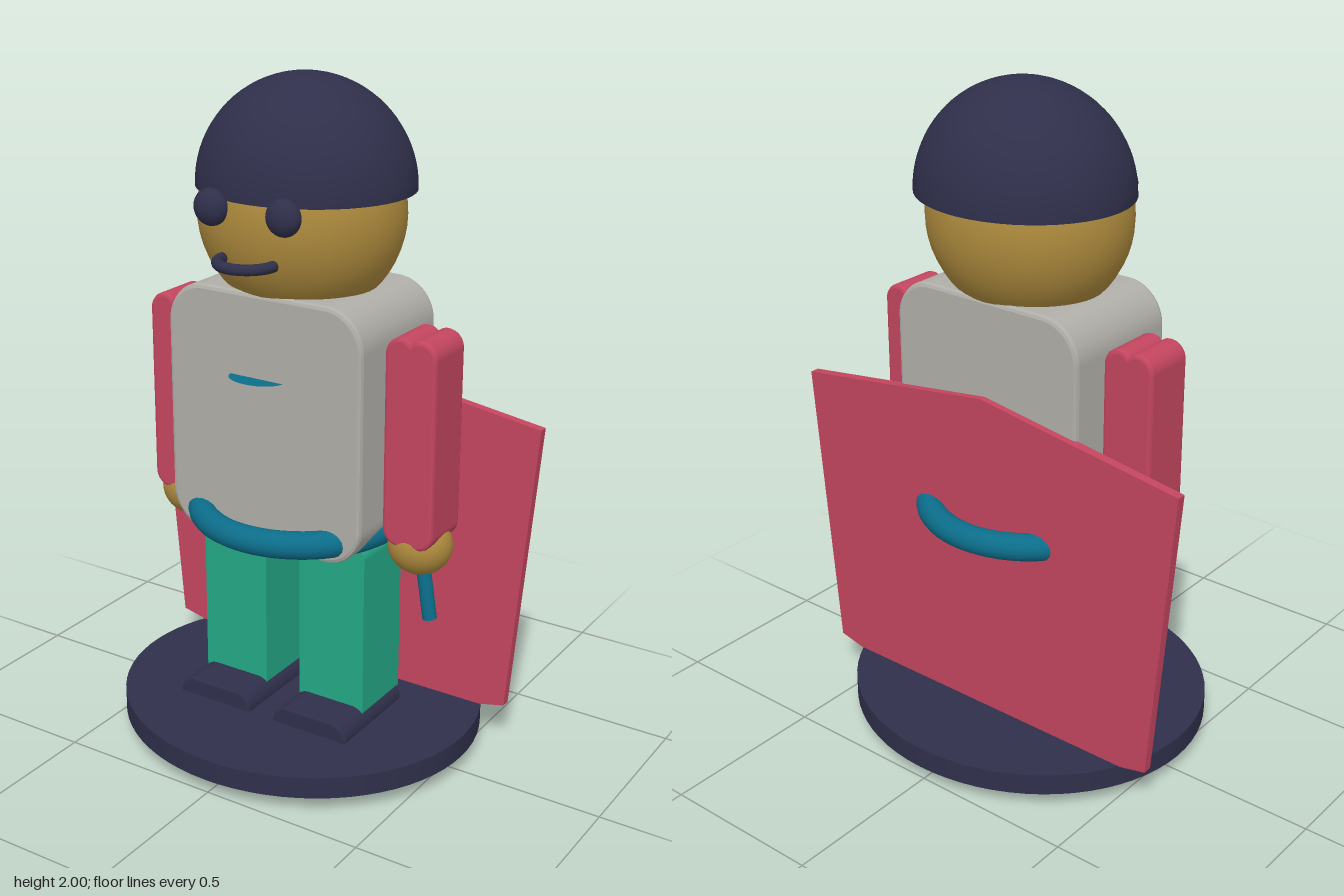
import * as THREE from 'three';

const mat = (name, color, side = THREE.FrontSide) => {
  const m = new THREE.MeshStandardMaterial({ color, side });
  m.name = name;
  return m;
};

// Rounded rectangle spanning x0..x1, y0..y1 with separate bottom and top radii
function roundedRect(x0, y0, x1, y1, rb, rt) {
  const s = new THREE.Shape();
  s.moveTo(x0 + rb, y0);
  s.lineTo(x1 - rb, y0);
  s.absarc(x1 - rb, y0 + rb, rb, -Math.PI / 2, 0);
  s.lineTo(x1, y1 - rt);
  s.absarc(x1 - rt, y1 - rt, rt, 0, Math.PI / 2);
  s.lineTo(x0 + rt, y1);
  s.absarc(x0 + rt, y1 - rt, rt, Math.PI / 2, Math.PI);
  s.lineTo(x0, y0 + rb);
  s.absarc(x0 + rb, y0 + rb, rb, Math.PI, Math.PI * 1.5);
  return s;
}

// Extrude between z0 and z1, with a small bevel kept inside the outline
function slab(shape, z0, z1, bevel = 0) {
  const g = new THREE.ExtrudeGeometry(shape, {
    depth: z1 - z0 - 2 * bevel, curveSegments: 10, bevelEnabled: bevel > 0,
    bevelThickness: bevel, bevelSize: bevel, bevelOffset: -bevel, bevelSegments: 2,
  });
  return g.translate(0, 0, z0 + bevel);
}

export function createModel() {
  const model = new THREE.Group();
  model.name = 'figurine';
  const navy = mat('navy', 0x2f2f4b, THREE.DoubleSide);
  const skin = mat('ochre skin', 0xad8a3d);
  const grey = mat('warm grey', 0xb0aea8);
  const rose = mat('rose', 0xc3455f);
  const green = mat('green', 0x24a885);
  const teal = mat('teal', 0x0c6d8a, THREE.DoubleSide);

  const add = (name, geometry, material, x = 0, y = 0, z = 0) => {
    const m = new THREE.Mesh(geometry, material);
    m.name = name;
    m.position.set(x, y, z);
    model.add(m);
    return m;
  };
  const ball = (name, material, r, p) =>
    add(name, new THREE.SphereGeometry(1, 40, 28).scale(...r), material, ...p);

  // Oval stand
  add('stand', new THREE.CylinderGeometry(1, 1, 0.066, 72).scale(0.56, 1, 0.515), navy, 0, 0.083, 0);

  // Flat pointed cape
  const capeShape = new THREE.Shape([
    [0, 0], [0.595, 0.135], [0.672, 1.035], [0, 1.13], [-0.672, 1.035], [-0.595, 0.135],
  ].map(([x, y]) => new THREE.Vector2(x, y)));
  add('cape', slab(capeShape, -0.223, -0.195), rose);

  // Torso and belt ring
  add('torso', slab(roundedRect(-0.322, 0.665, 0.322, 1.42, 0.12, 0.12), -0.202, 0.204, 0.012), grey);
  add('belt', new THREE.TorusGeometry(0.298, 0.04, 16, 64).rotateX(Math.PI / 2), teal, 0, 0.727, 0);

  // Small badge ledge standing out of the chest
  const ledge = new THREE.Shape();
  ledge.absellipse(0, 0, 0.088, 0.062, 0, Math.PI * 2);
  add('chestBadge', new THREE.ShapeGeometry(ledge, 16).rotateX(-Math.PI / 2), teal, -0.02, 1.175, 0.2);

  // Head, cap and face
  ball('head', skin, [0.302, 0.3, 0.276], [0, 1.618, 0]);
  add('cap', new THREE.SphereGeometry(1, 48, 20, 0, Math.PI * 2, 0, Math.PI / 2)
    .scale(0.32, 0.315, 0.291), navy, 0, 1.685, -0.021);
  add('mouth', new THREE.TorusGeometry(0.083, 0.016, 12, 32, Math.PI).rotateX(Math.PI / 2),
    navy, 0, 1.528, 0.267);

  // Arm outline: two rounded lobes meeting in a shallow groove on top
  const armShape = (x0, x1) => {
    const s = new THREE.Shape(), mid = (x0 + x1) / 2, r = 0.05, top = 1.328, lobe = 0.034;
    s.moveTo(x0 + r, 0.71);
    s.lineTo(x1 - r, 0.71);
    s.absarc(x1 - r, 0.71 + r, r, -Math.PI / 2, 0);
    s.absarc(x1 - r, top - r, r, 0, Math.PI / 2);
    s.quadraticCurveTo(mid + lobe * 0.4, top, mid, top - 0.014);
    s.quadraticCurveTo(mid - lobe * 0.4, top, x0 + r, top);
    s.absarc(x0 + r, top - r, r, Math.PI / 2, Math.PI);
    s.absarc(x0 + r, 0.71 + r, r, Math.PI, Math.PI * 1.5);
    return s;
  };

  // Paired parts
  for (const [side, k] of [['left', 1], ['right', -1]]) {
    const span = (a, b) => (k > 0 ? [a, b] : [-b, -a]);
    const [a0, a1] = span(0.322, 0.482);
    add(side + 'Arm', slab(armShape(a0, a1), -0.083, 0.083, 0.01), rose);
    ball(side + 'Hand', skin, [0.096, 0.09, 0.089], [k * 0.402, 0.698, 0]);
    const [l0, l1] = span(0.06, 0.281);
    add(side + 'Leg', slab(roundedRect(l0, 0.13, l1, 0.69, 0.03, 0.04), -0.105, 0.106), green);
    const [s0, s1] = span(0.043, 0.294);
    add(side + 'Shoe', slab(roundedRect(s0, 0.105, s1, 0.17, 0.01, 0.05), -0.1, 0.226, 0.006), navy);
    ball(side + 'Eye', navy, [0.052, 0.052, 0.036], [k * 0.117, 1.665, 0.27]);
  }

  // Short stick held in the left hand
  const stick = add('stick', new THREE.CylinderGeometry(0.021, 0.021, 0.2, 20), teal, 0.435, 0.58, 0.02);
  stick.rotation.z = 0.16;

  return model;
}
